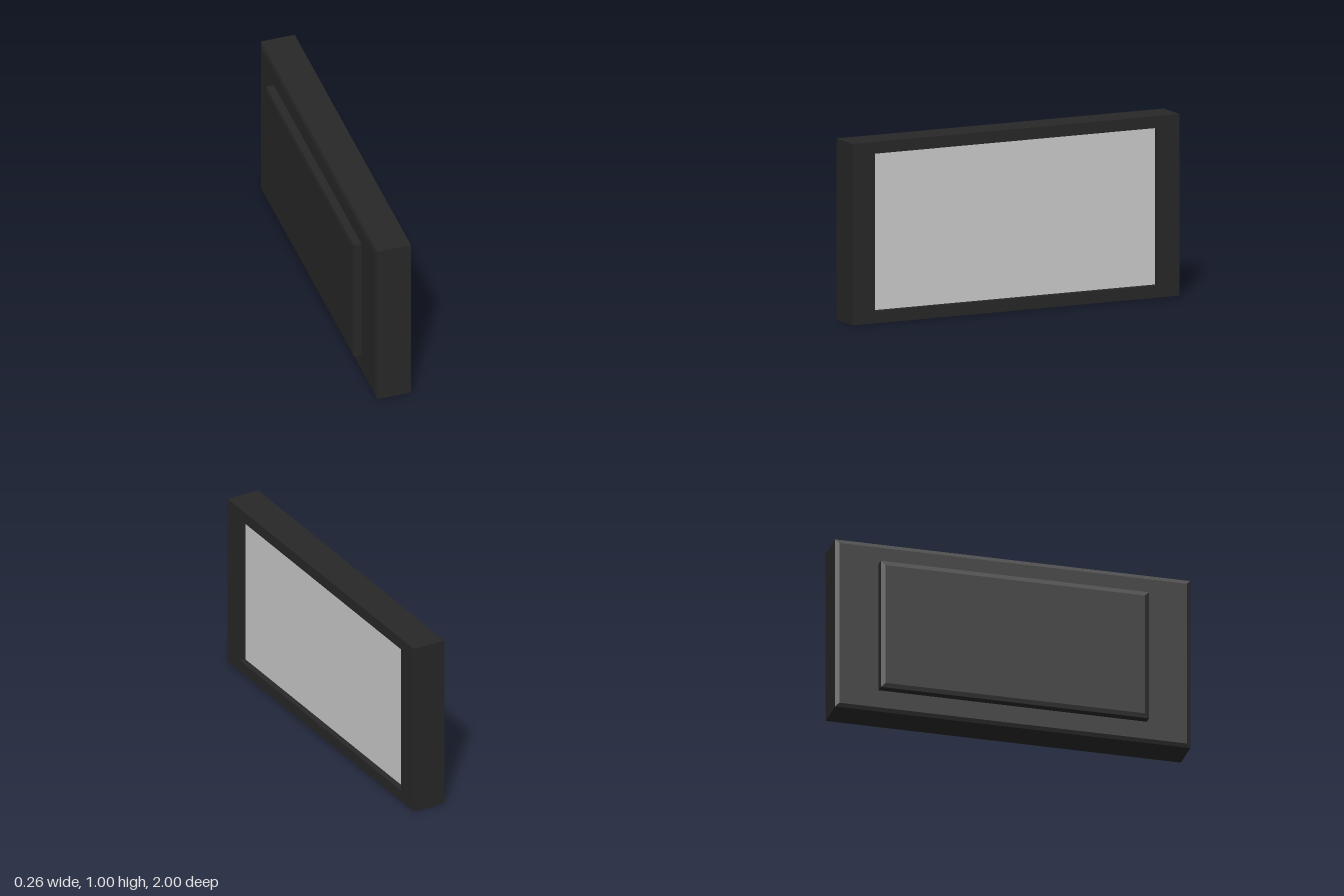
import * as THREE from 'three';
import { ConvexGeometry } from 'three/addons/geometries/ConvexGeometry.js';

const dark = new THREE.MeshStandardMaterial({ color: 0x272727 });
const grey = new THREE.MeshStandardMaterial({ color: 0xcccccc });

// Upright slab whose rear (-x) edge is chamfered: "depth" along x, "inset" along y and z
function chamferedSlab([x0, x1], [y0, y1], [z0, z1], depth, inset) {
  const points = [];
  for (const [x, i] of [[x1, 0], [x0 + depth, 0], [x0, inset]])
    for (const y of [y0 + i, y1 - i])
      for (const z of [z0 + i, z1 - i]) points.push(new THREE.Vector3(x, y, z));
  return new ConvexGeometry(points);
}

// Rectangular outline used for the bezel and its opening
function rectangle(path, halfWidth, y0, y1) {
  path.moveTo(-halfWidth, y0);
  path.lineTo(halfWidth, y0);
  path.lineTo(halfWidth, y1);
  path.lineTo(-halfWidth, y1);
  path.closePath();
  return path;
}

export function createModel() {
  const group = new THREE.Group();
  const add = (name, geometry, material = dark) => {
    const mesh = new THREE.Mesh(geometry, material);
    mesh.name = name;
    group.add(mesh);
    return mesh;
  };

  const front = 0.12, recess = 0.035;
  const floor = front - recess;

  // Housing and the raised panel on its rear
  add('housing', chamferedSlab([-0.08, floor], [0, 1], [-1, 1], 0.007, 0.022));
  add('rearPanel', chamferedSlab([-0.13, -0.079], [0.124, 0.879], [-0.757, 0.753], 0.005, 0.025));

  // Bezel frame around the recessed screen, turned to face +x
  const outline = rectangle(new THREE.Shape(), 1, 0, 1);
  outline.holes.push(rectangle(new THREE.Path(), 0.865, 0.067, 0.935));
  const bezel = new THREE.ExtrudeGeometry(outline, { depth: recess, bevelEnabled: false });
  bezel.rotateY(Math.PI / 2).translate(floor, 0, 0);
  add('bezel', bezel);

  // Screen lying on the floor of the recess
  const screen = new THREE.PlaneGeometry(1.73, 0.868).rotateY(Math.PI / 2);
  add('screen', screen, grey).position.set(floor + 0.002, 0.501, 0);

  // Small button below the screen
  add('button', new THREE.BoxGeometry(0.012, 0.056, 0.064)).position.set(0.121, 0.034, -0.003);

  return group;
}
